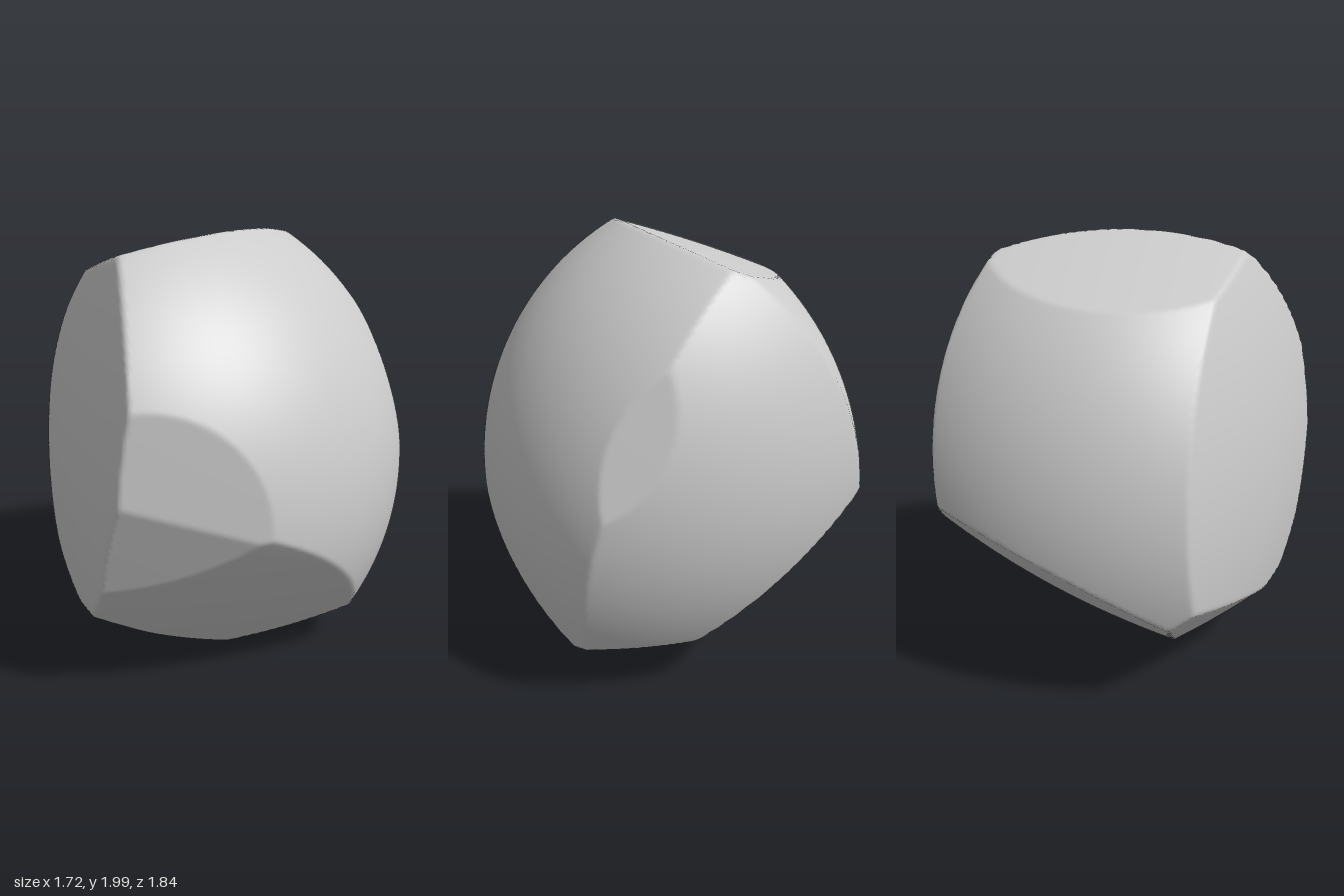
import * as THREE from 'three';
import { mergeVertices } from 'three/addons/utils/BufferGeometryUtils.js';

// Domed sides of the stone: centre of each large sphere (relative to the core) and its radius
const domes = [
  { c: [-0.45, -0.164, -0.186], r: 1.309 }, // right side
  { c: [0.446, -0.12, 0.17], r: 1.31 },     // back left side
  { c: [-0.28, 0.05, 0.585], r: 1.51 },     // back side
  { c: [1.655, -0.23, -1.585], r: 2.99 },   // front left side, nearly flat
];

// Chips: outward normal, distance from the core and radius of the slight bulge
const chips = [
  { n: [-0.336, 0.933, -0.13], d: 0.899, r: 6 },   // top
  { n: [0.489, 0.058, 0.871], d: 0.819, r: 40 },   // front
  { n: [0.37, -0.305, 0.877], d: 0.811, r: 40 },   // lower front
  { n: [0.464, -0.586, 0.665], d: 0.78, r: 4 },    // underside, front right
  { n: [-0.677, -0.65, 0.343], d: 0.883, r: 4 },   // underside, left
  { n: [-0.298, -0.876, 0.38], d: 0.905, r: 3 },   // underside, front
  { n: [-0.39, -0.72, -0.573], d: 0.75, r: 4 },    // underside, back
  { n: [0.207, -0.917, -0.342], d: 0.93, r: 5 },   // underside, back right
  { n: [0.776, 0.255, -0.577], d: 0.899, r: 40 },  // back right edge
];

const vec = (a) => new THREE.Vector3(...a);
const spheres = [
  ...domes.map(({ c, r }) => ({ c: vec(c), r })),
  ...chips.map(({ n, d, r }) => ({ c: vec(n).setLength(r - d).negate(), r })),
];

// Distance from the core to the nearest sphere along a direction
function reach(dir) {
  let t = Infinity;
  for (const { c, r } of spheres) {
    const b = dir.dot(c);
    t = Math.min(t, b + Math.sqrt(b * b + r * r - c.lengthSq()));
  }
  return t;
}

export function createModel() {
  const group = new THREE.Group();
  group.name = 'rock';

  // Fine sphere pushed in or out to the stone's surface
  let geo = new THREE.IcosahedronGeometry(1, 64);
  geo.deleteAttribute('uv');
  geo.deleteAttribute('normal');
  geo = mergeVertices(geo, 1e-5);
  const pos = geo.attributes.position;
  const dir = new THREE.Vector3();
  for (let i = 0; i < pos.count; i++) {
    dir.fromBufferAttribute(pos, i).normalize();
    dir.multiplyScalar(reach(dir));
    pos.setXYZ(i, dir.x, dir.y, dir.z);
  }

  // Rest the stone on the ground
  geo.computeBoundingBox();
  geo.translate(0, -geo.boundingBox.min.y, 0);
  geo.computeVertexNormals();

  const stone = new THREE.Mesh(geo, new THREE.MeshStandardMaterial({ color: 0xcccccc }));
  stone.name = 'stone';
  group.add(stone);
  return group;
}
